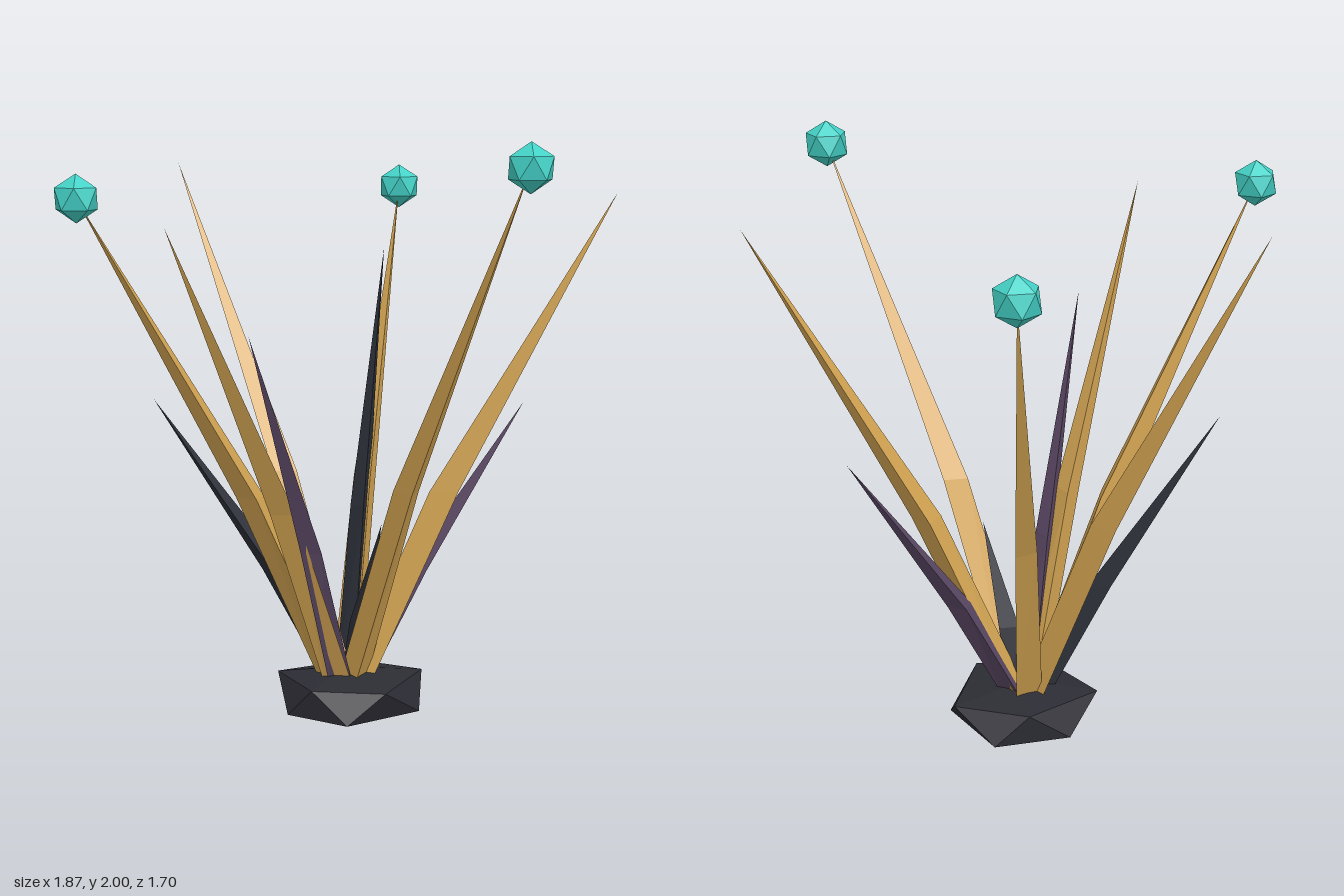
import * as THREE from 'three';
import { ConvexGeometry } from 'three/addons/geometries/ConvexGeometry.js';

const mat = (name, color) => {
  const m = new THREE.MeshStandardMaterial({ color });
  m.name = name;
  return m;
};

const CX = -0.035, CZ = -0.095; // centre of the clump

// Faceted stone: two staggered, uneven rings of five points between two poles
function rockGeometry() {
  const pts = [new THREE.Vector3(CX, 0.207, CZ), new THREE.Vector3(CX, 0.005, CZ)];
  const ring = (y, corners) => corners.forEach(([x, z]) => pts.push(new THREE.Vector3(x, y, z)));
  ring(0.174, [[0.225, -0.06], [0.05, 0.115], [-0.23, 0.05], [-0.19, -0.25], [0.05, -0.357]]);
  ring(0.075, [[0.18, 0.065], [-0.05, 0.14], [-0.26, -0.125], [-0.12, -0.345], [0.18, -0.24]]);
  return new ConvexGeometry(pts);
}

// Three-sided blade, flat on one flank and ridged on the other, bent outward at 40% of its height
function spikeGeometry(tip, width, depth) {
  const dir = new THREE.Vector2(tip[0] - CX, tip[2] - CZ);
  const reach = dir.length();
  dir.normalize();
  const y0 = 0.15, r0 = 0.035;
  const rings = [
    { r: r0, y: y0, w: width, d: depth },
    { r: r0 + (reach - r0) * 0.34, y: y0 + (tip[1] - y0) * 0.4, w: width * 0.8, d: depth * 1.08 },
  ];
  const pos = [];
  for (const { r, y, w, d } of rings) {
    for (const [out, side] of [[d / 2, w / 3], [0, -w * 2 / 3], [-d / 2, w / 3]]) {
      pos.push(CX + dir.x * (r + out) - dir.y * side, y, CZ + dir.y * (r + out) + dir.x * side);
    }
  }
  pos.push(...tip);
  const index = [0, 2, 1];
  for (let i = 0; i < 3; i++) {
    const j = (i + 1) % 3;
    index.push(i, j, 3 + j, i, 3 + j, 3 + i, 3 + i, 3 + j, 6);
  }
  const indexed = new THREE.BufferGeometry();
  indexed.setAttribute('position', new THREE.Float32BufferAttribute(pos, 3));
  indexed.setIndex(index);
  const g = indexed.toNonIndexed();
  g.computeVertexNormals();
  return g;
}

export function createModel() {
  const group = new THREE.Group();
  const stone = mat('dark stone', 0x2c2c34);
  const gold = mat('gold', 0xd4a553);
  const slate = mat('black slate', 0x2b2e37);
  const purple = mat('dusky purple', 0x5a4763);
  const teal = mat('teal', 0x44d2c7);

  const add = (name, geometry, material) => {
    const mesh = new THREE.Mesh(geometry, material);
    mesh.name = name;
    group.add(mesh);
    return mesh;
  };

  add('rockBase', rockGeometry(), stone);

  // Tall gold blades; every other one carries an orb
  const tall = [
    [0.862, 1.922, -0.095], [0.207, 1.745, 0.775], [-0.293, 1.81, 0.78],
    [-0.935, 1.885, -0.025], [-0.618, 1.792, -0.785], [0.505, 1.815, -0.805],
  ];
  const orbGeometry = new THREE.IcosahedronGeometry(0.078);
  orbGeometry.rotateZ(Math.atan(2 / (1 + Math.sqrt(5)))); // one corner straight up
  tall.forEach((tip, i) => {
    add('goldBlade', spikeGeometry(tip, 0.085, 0.09), gold);
    if (i % 2 === 0) add('orb', orbGeometry, teal).position.set(...tip);
  });

  // Shorter dark blades between them
  const short = [
    [[0.155, 0.73, -0.095], slate], [[0.235, 1.4, 0.49], purple], [[-0.458, 1.12, 0.395], slate],
    [[-0.447, 1.585, -0.58], slate], [[0.182, 1.09, -0.692], purple],
  ];
  for (const [tip, material] of short) add('darkBlade', spikeGeometry(tip, 0.068, 0.078), material);

  return group;
}
